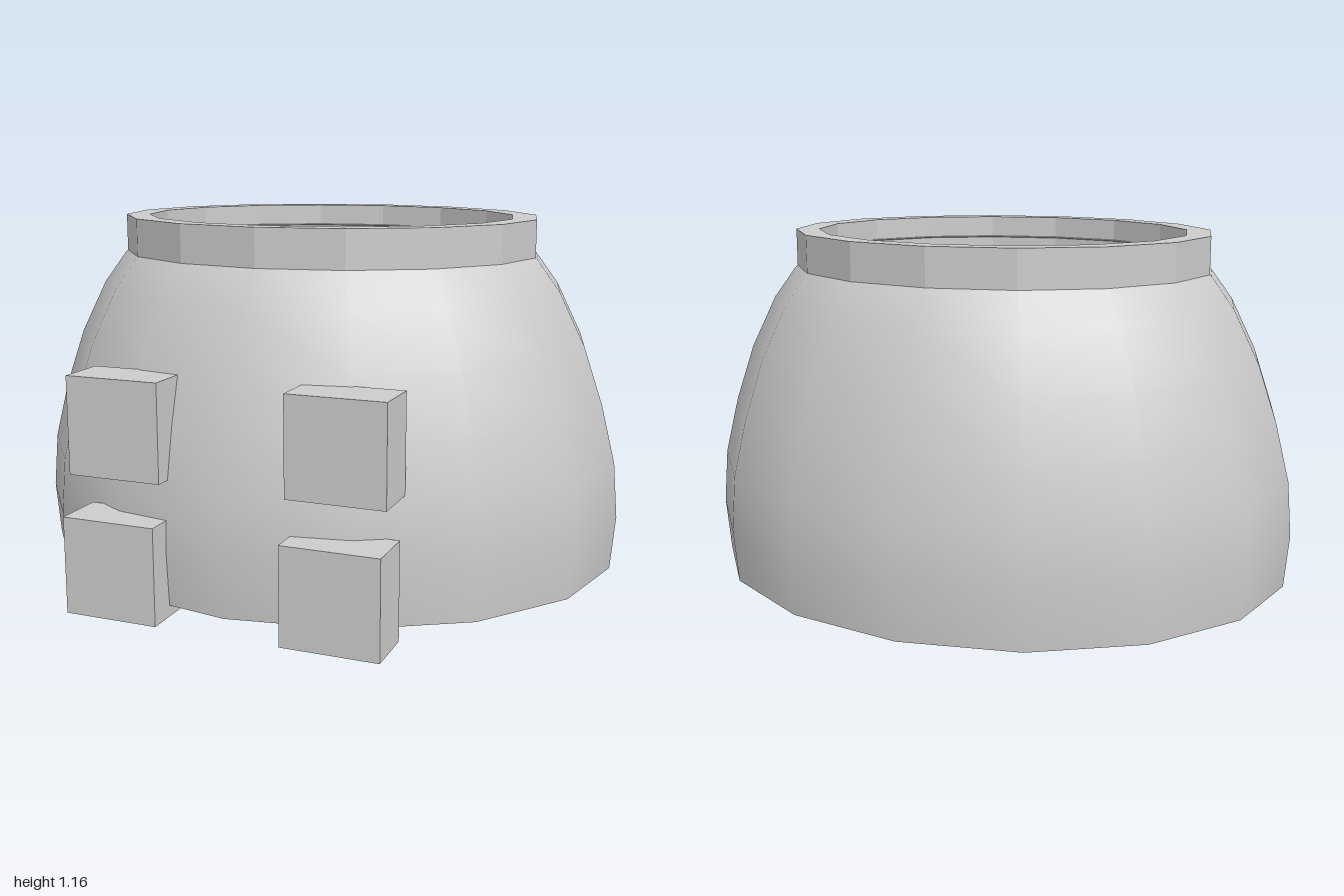
import * as THREE from 'three';

const SIDES = 16, DEPTH = 0.868, CENTRE_Z = -0.02;

// Revolve [radius, height] pairs into an oval body
function oval(points, flat = false) {
  const profile = points.map(([r, y]) => new THREE.Vector2(r, y));
  let g = new THREE.LatheGeometry(profile, SIDES);
  g.scale(1, 1, DEPTH);
  g.translate(0, 0, CENTRE_Z);
  if (flat) {
    g = g.toNonIndexed();
    g.computeVertexNormals();
  }
  return g;
}

export function createModel() {
  const model = new THREE.Group();
  model.name = 'openDome';
  const grey = new THREE.MeshStandardMaterial({ color: 0xcccccc });
  grey.name = 'light grey';

  const add = (name, geometry, parent = model) => {
    const mesh = new THREE.Mesh(geometry, grey);
    mesh.name = name;
    parent.add(mesh);
    return mesh;
  };

  // Thin, smoothly curved shell, open at top and bottom
  const outer = [
    [0.985, 0.035], [1.0, 0.21], [0.985, 0.39], [0.938, 0.578],
    [0.874, 0.765], [0.789, 0.936], [0.714, 1.037], [0.645, 1.1],
  ];
  const inner = outer.map(([r, y], i) => [r - 0.022, i ? y - 0.008 : y]);
  const shell = new THREE.Group();
  shell.name = 'shell';
  model.add(shell);
  add('shellOutside', oval(outer), shell);
  add('shellInside', oval([...inner].reverse()), shell);
  add('shellBottomRim', oval([inner[0], outer[0]], true), shell);
  add('shellTopRim', oval([outer[7], inner[7]], true), shell);

  // Faceted collar around the top opening
  add('collar', oval([
    [0.627, 1.03], [0.707, 1.03], [0.707, 1.165], [0.627, 1.165], [0.627, 1.03],
  ], true));

  // Two rows of blocks set into the front
  const rows = [
    { name: 'lower', y: 0.1525, z: 0.8075 },
    { name: 'upper', y: 0.578, z: 0.7625 },
  ];
  for (const { name, y, z } of rows) {
    for (const side of [1, -1]) {
      const block = add(name + (side > 0 ? 'Left' : 'Right') + 'Block',
        new THREE.BoxGeometry(0.305, 0.305, 0.165));
      block.position.set(side * 0.3525, y, z);
    }
  }
  return model;
}
